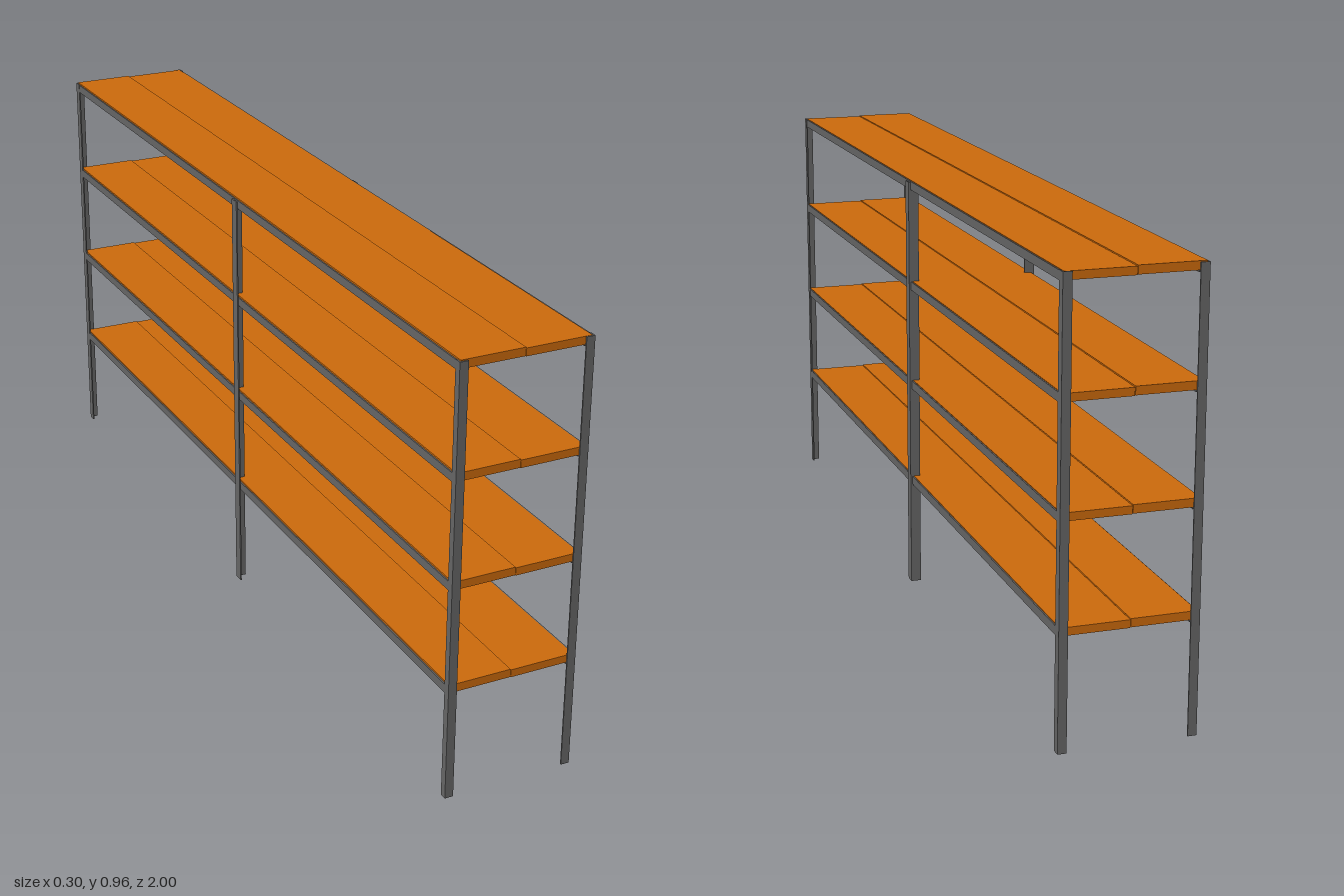
import * as THREE from 'three';

const steel = new THREE.MeshStandardMaterial({ color: 0x666666 });
const wood = new THREE.MeshStandardMaterial({ color: 0xcc6a0c });
const T = 0.003; // steel thickness

// Box given by its min and max corners
function box(name, material, [x0, y0, z0], [x1, y1, z1]) {
  const mesh = new THREE.Mesh(new THREE.BoxGeometry(x1 - x0, y1 - y0, z1 - z0), material);
  mesh.position.set((x0 + x1) / 2, (y0 + y1) / 2, (z0 + z1) / 2);
  mesh.name = name;
  return mesh;
}

// Steel angle section: outer corner at the origin, legs a (x) and b (y), extruded along z
function angle(name, a, b, length) {
  const pts = [[0, 0], [a, 0], [a, T], [T, T], [T, b], [0, b]];
  const shape = new THREE.Shape(pts.map(([x, y]) => new THREE.Vector2(x, y)));
  const geo = new THREE.ExtrudeGeometry(shape, { depth: length, bevelEnabled: false });
  const mesh = new THREE.Mesh(geo, steel);
  mesh.name = name;
  return mesh;
}

// Upright angle post; sx and sz point from its outer corner inwards
function post(name, x, z, sx, sz, a, b, height) {
  const group = new THREE.Group();
  group.name = name;
  const x1 = x + sx * a, z1 = z + sz * b, xt = x + sx * T, zt = z + sz * T;
  const leg = (n, xa, xb, za, zb) => group.add(box(n, steel,
    [Math.min(xa, xb), 0, Math.min(za, zb)], [Math.max(xa, xb), height, Math.max(za, zb)]));
  leg('crossLeg', x, x1, z, zt);
  leg('lengthLeg', x, xt, zt, z1);
  return group;
}

export function createModel() {
  const model = new THREE.Group();
  model.name = 'shelvingRack';

  // Corner and middle posts on both sides
  for (const s of [-1, 1]) {
    const side = s > 0 ? 'left' : 'right';
    model.add(post(side + 'FrontPost', s * 0.146, 1, -s, -1, 0.019, 0.016, 0.955));
    model.add(post(side + 'BackPost', s * 0.146, -1, -s, 1, 0.019, 0.02, 0.955));
    model.add(post(side + 'MiddlePost', s * 0.15, -0.007, -s, 1, 0.023, 0.024, 0.952));
  }

  // Four shelves: two planks in angle beams, with a middle cross bar
  [0.262, 0.493, 0.726, 0.957].forEach((top, i) => {
    const shelf = new THREE.Group();
    shelf.name = 'shelf' + (i + 1);
    shelf.add(box('rightPlank', wood, [-0.142, top - 0.018, -0.996], [-0.003, top, 0.996]));
    shelf.add(box('leftPlank', wood, [-0.002, top - 0.019, -0.996], [0.142, top - 0.002, 0.996]));

    const rightBeam = angle('rightBeam', 0.02, 0.019, 1.992);
    rightBeam.position.set(-0.1455, top - 0.022, -0.996);
    const leftBeam = angle('leftBeam', 0.02, 0.019, 1.992);
    leftBeam.rotation.y = Math.PI;
    leftBeam.position.set(0.1455, top - 0.022, 0.996);
    shelf.add(rightBeam, leftBeam);

    shelf.add(box('crossBar', steel, [-0.142, top - 0.026, -0.006], [0.142, top - 0.02, 0.014]));
    model.add(shelf);
  });

  return model;
}
